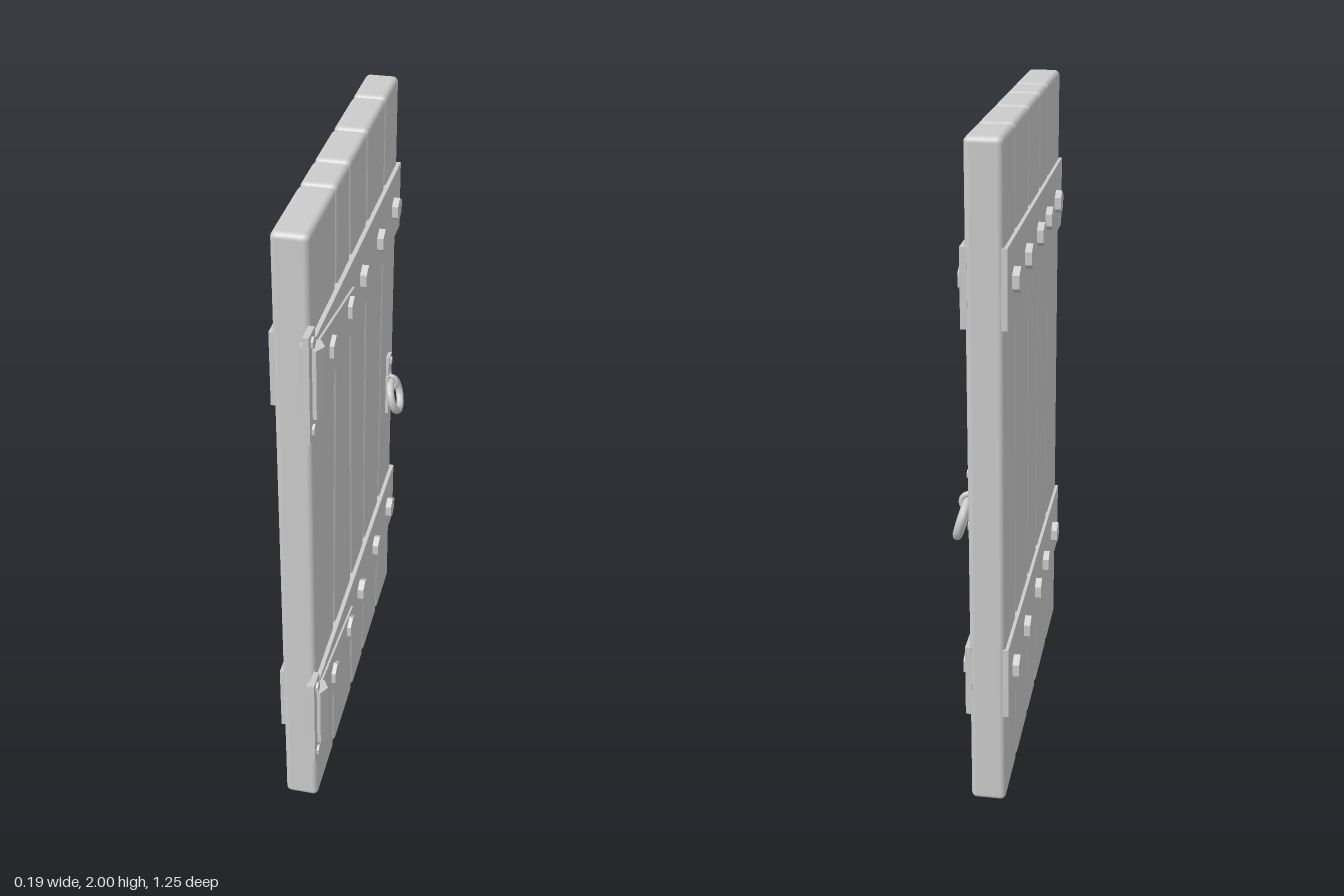
import * as THREE from 'three';
import { RoundedBoxGeometry } from 'three/addons/geometries/RoundedBoxGeometry.js';

const smooth = new THREE.MeshStandardMaterial({ color: 0xcccccc });
const flat = new THREE.MeshStandardMaterial({ color: 0xcccccc, flatShading: true });

function add(parent, name, geometry, material, x = 0, y = 0, z = 0) {
  const mesh = new THREE.Mesh(geometry, material);
  mesh.name = name;
  mesh.position.set(x, y, z);
  parent.add(mesh);
  return mesh;
}

// Box given by its limits on each axis
function slab(parent, name, [x0, x1], [y0, y1], [z0, z1]) {
  return add(parent, name, new THREE.BoxGeometry(x1 - x0, y1 - y0, z1 - z0), flat,
    (x0 + x1) / 2, (y0 + y1) / 2, (z0 + z1) / 2);
}

// Six-sided bolt head whose axis runs along x, with a corner pointing up
function bolt(parent, name, x0, x1, y, z, radius) {
  const g = new THREE.CylinderGeometry(radius, radius, x1 - x0, 6);
  g.rotateY(Math.PI / 2).rotateZ(-Math.PI / 2);
  return add(parent, name, g, flat, (x0 + x1) / 2, y, z);
}

// Rounded plank whose two long edges lean independently
function plank(parent, top, bottom) {
  const width = (top[0] - top[1] + bottom[0] - bottom[1]) / 2;
  const g = new RoundedBoxGeometry(0.104, 2, width, 3, 0.017);
  const p = g.attributes.position;
  for (let i = 0; i < p.count; i++) {
    const t = (p.getY(i) + 1) / 2;
    const s = p.getZ(i) / width + 0.5;
    const near = THREE.MathUtils.lerp(bottom[0], top[0], t);
    const far = THREE.MathUtils.lerp(bottom[1], top[1], t);
    p.setZ(i, THREE.MathUtils.lerp(far, near, s));
  }
  add(parent, 'plank', g, smooth, -0.015, 1, 0);
}

function hinge(parent, y) {
  const group = new THREE.Group();
  group.name = 'hinge';
  group.position.y = y;
  parent.add(group);

  // Wall plate with its two small bolts
  slab(group, 'hingePlate', [0.037, 0.054], [-0.16, 0.16], [0.562, 0.627]);
  for (const s of [-1, 1]) bolt(group, 'hingePlateBolt', 0.054, 0.061, s * 0.132, 0.595, 0.017);

  // Six-sided knuckle
  const knuckle = new THREE.CylinderGeometry(0.034, 0.034, 0.208, 6);
  knuckle.rotateY(Math.PI / 2);
  add(group, 'hingeKnuckle', knuckle, flat, 0.048, 0.003, 0.567);

  // Tapering strap
  const shape = new THREE.Shape([
    new THREE.Vector2(-0.55, -0.102), new THREE.Vector2(-0.1, -0.034),
    new THREE.Vector2(-0.1, 0.034), new THREE.Vector2(-0.55, 0.102),
  ]);
  const strap = new THREE.ExtrudeGeometry(shape, { depth: 0.012, bevelEnabled: false });
  strap.rotateY(Math.PI / 2);
  add(group, 'hingeStrap', strap, flat, 0.045);
}

function handle(parent) {
  const group = new THREE.Group();
  group.name = 'handle';
  group.position.z = -0.522;
  parent.add(group);

  // Back plate: bolted tabs joined by a narrower neck
  slab(group, 'handlePlate', [0.034, 0.048], [0.826, 0.975], [-0.021, 0.021]);
  slab(group, 'handleNeck', [0.034, 0.046], [0.97, 1.02], [-0.016, 0.016]);
  slab(group, 'handleTab', [0.034, 0.048], [1.01, 1.05], [-0.021, 0.021]);
  bolt(group, 'handleBolt', 0.048, 0.054, 1.03, 0, 0.014);
  bolt(group, 'handleBolt', 0.048, 0.054, 0.867, 0, 0.014);

  // Staple holding the ring
  const staple = new THREE.TorusGeometry(0.026, 0.009, 6, 10, Math.PI);
  staple.rotateZ(-Math.PI / 2);
  add(group, 'handleStaple', staple, smooth, 0.046, 0.942, 0);

  // Ring, hanging outward at the bottom
  const ring = new THREE.TorusGeometry(0.056, 0.0135, 8, 20);
  ring.rotateY(Math.PI / 2).rotateZ(0.27);
  add(group, 'handleRing', ring, smooth, 0.068, 0.893, 0);
}

export function createModel() {
  const door = new THREE.Group();
  door.name = 'plankDoor';

  // Planks: z limits at the top, then at the bottom
  const planks = [
    [[0.54, 0.24], [0.54, 0.31]],
    [[0.23, 0.08], [0.302, 0.028]],
    [[0.07, -0.155], [0.018, -0.155]],
    [[-0.163, -0.419], [-0.163, -0.394]],
    [[-0.427, -0.622], [-0.402, -0.622]],
  ];
  for (const [top, bottom] of planks) plank(door, top, bottom);

  // Battens on both faces, with bolts and a hinge at each level
  for (const y of [1.602, 0.411]) {
    const span = [y - 0.112, y + 0.112];
    slab(door, 'frontBatten', [0.03, 0.05], span, [-0.62, 0.535]);
    slab(door, 'backBatten', [-0.077, -0.06], span, [-0.62, 0.535]);
    for (const z of [0.384, 0.16, -0.034, -0.28, -0.513]) {
      bolt(door, 'frontBolt', 0.045, 0.07, y, z, 0.037);
      bolt(door, 'backBolt', -0.097, -0.072, y, z, 0.037);
    }
    hinge(door, y);
  }

  handle(door);
  return door;
}
